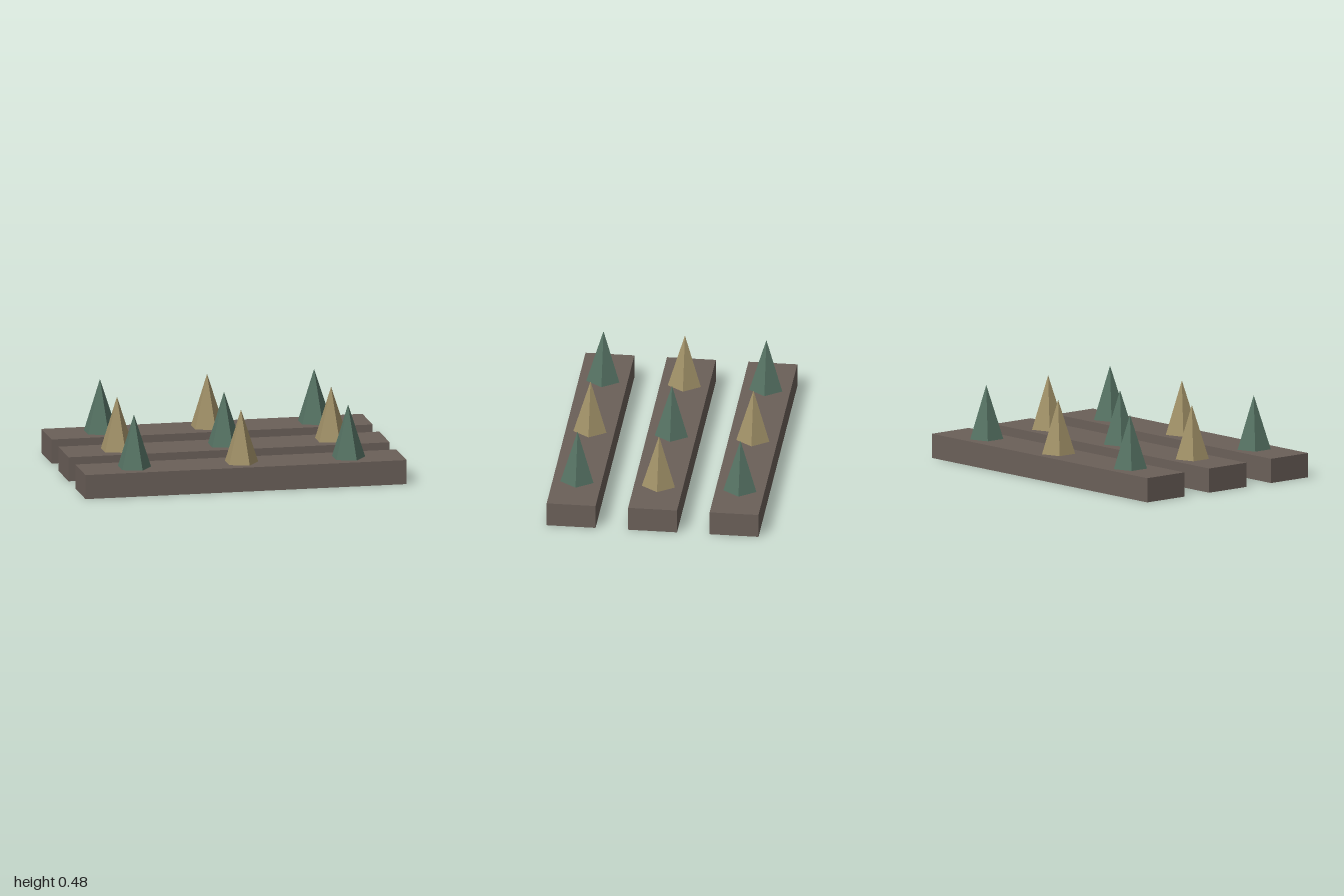
import * as THREE from 'three';

export function createModel() {
  const model = new THREE.Group();
  const wood = new THREE.MeshStandardMaterial({ name: 'brownWood', color: 0x6b6059 });
  const green = new THREE.MeshStandardMaterial({ name: 'mutedGreen', color: 0x557263, flatShading: true });
  const tan = new THREE.MeshStandardMaterial({ name: 'sandyTan', color: 0xa09067, flatShading: true });

  const beamHeight = 0.15;
  const spikeHeight = 0.33;
  const beamGeometry = new THREE.BoxGeometry(2, beamHeight, 0.3);
  // Five-sided spike with one corner pointing to +x
  const spikeGeometry = new THREE.ConeGeometry(0.107, spikeHeight, 5, 1, false, Math.PI / 2);

  // Three parallel beams, each with three spikes in alternating colours
  for (let row = -1; row <= 1; row++) {
    const beam = new THREE.Mesh(beamGeometry, wood);
    beam.name = 'beam';
    beam.position.set(0, beamHeight / 2, row * 0.5);
    model.add(beam);

    for (let column = -1; column <= 1; column++) {
      const spike = new THREE.Mesh(spikeGeometry, (row + column) % 2 === 0 ? green : tan);
      spike.name = 'spike';
      spike.position.set(column * 0.667, beamHeight + spikeHeight / 2, row * 0.5);
      model.add(spike);
    }
  }
  return model;
}
